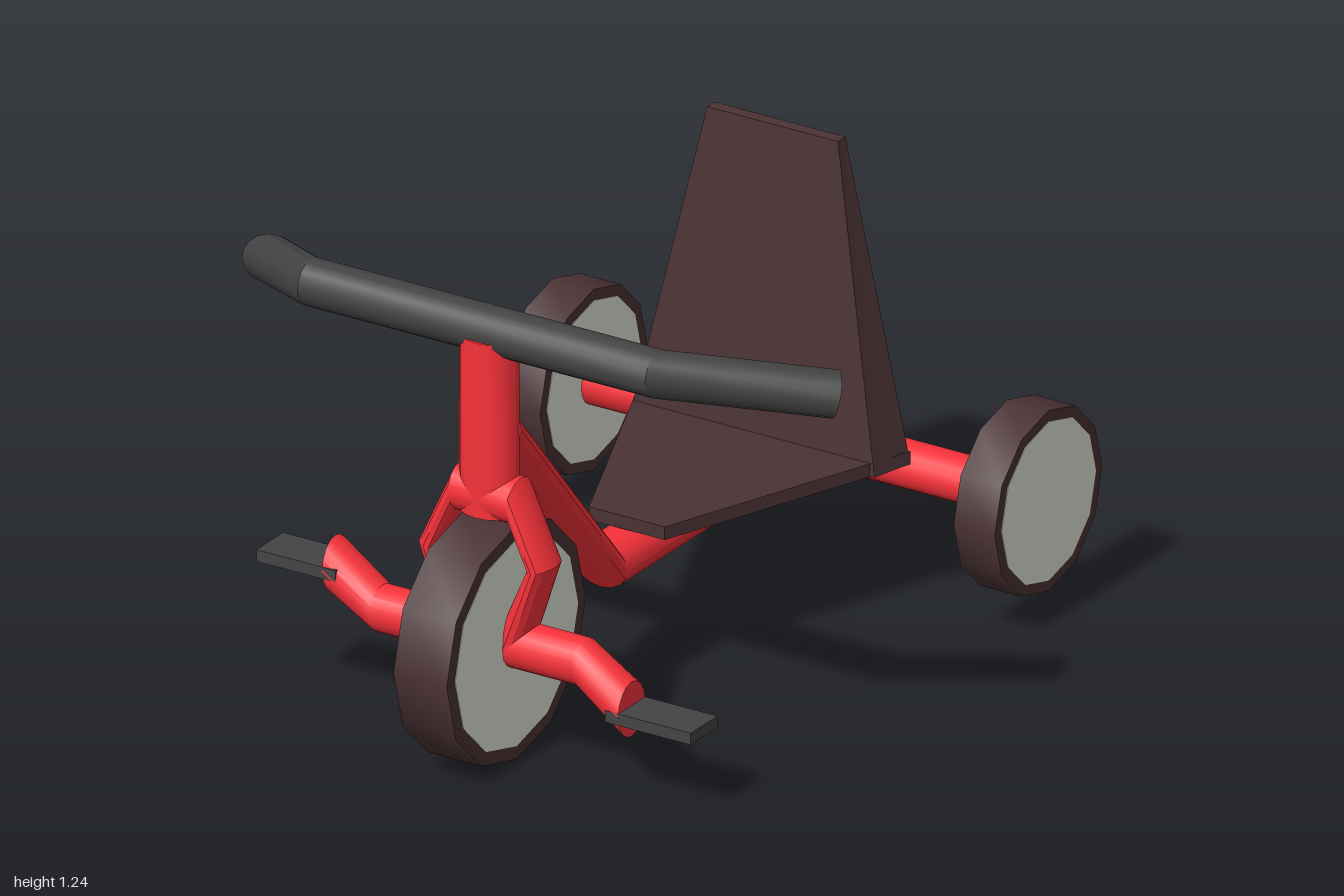
import * as THREE from 'three';
import { toCreasedNormals } from 'three/addons/utils/BufferGeometryUtils.js';

const paint = (color) => new THREE.MeshStandardMaterial({ color });
const red = paint(0xf8323a), black = paint(0x444444), brown = paint(0x4a3234), pale = paint(0xe0e6da);

// Closed solid through equal-sized rings of [x, y, z] points
function loft(rings) {
  const n = rings[0].length, last = (rings.length - 1) * n;
  const pos = rings.flat(), index = [];
  for (let r = 0; r < rings.length - 1; r++) {
    for (let i = 0; i < n; i++) {
      const a = r * n + i, b = r * n + (i + 1) % n;
      index.push(a, b, b + n, a, b + n, a + n);
    }
  }
  for (let i = 1; i < n - 1; i++) index.push(0, i + 1, i, last, last + i, last + i + 1);
  // Turn the faces outward when the rings run the other way
  let volume = 0;
  const v = pos.map((p) => new THREE.Vector3(...p));
  for (let i = 0; i < index.length; i += 3) {
    volume += v[index[i]].dot(v[index[i + 1]].clone().cross(v[index[i + 2]]));
  }
  if (volume < 0) index.reverse();
  const geo = new THREE.BufferGeometry();
  geo.setAttribute('position', new THREE.Float32BufferAttribute(pos.flat(), 3));
  geo.setIndex(index);
  return toCreasedNormals(geo, 0.48);
}

// Elliptical ring: centre plus two half-axis vectors
function ring(c, u, v, sides = 16) {
  return Array.from({ length: sides }, (_, i) => {
    const a = (i / sides) * Math.PI * 2;
    return c.map((k, j) => k + Math.cos(a) * u[j] + Math.sin(a) * v[j]);
  });
}

export function createModel() {
  const model = new THREE.Group();
  const add = (name, geo, mat, parent = model) => {
    const mesh = new THREE.Mesh(geo, mat);
    mesh.name = name;
    parent.add(mesh);
    return mesh;
  };
  const R = 0.0625, W = 0.08;
  const X = [W, 0, 0], Y = [0, R, 0], Z = [0, 0, R];

  // Twelve-sided wheels with pale flush discs
  const wheel = (name, x, y, z, radius, rim, width) => {
    const group = new THREE.Group();
    group.name = name;
    group.position.set(x, y, z);
    group.rotation.z = Math.PI / 2;
    add('tyre', toCreasedNormals(new THREE.CylinderGeometry(radius, radius, width, 12), 0.6), brown, group);
    add('wheelDisc', new THREE.CylinderGeometry(radius - rim, radius - rim, width + 0.003, 12), pale, group);
    model.add(group);
  };
  wheel('frontWheel', -0.004, 0.323, 0.68, 0.321, 0.037, 0.158);
  wheel('rearWheelLeft', 0.673, 0.325, -0.752, 0.248, 0.03, 0.122);
  wheel('rearWheelRight', -0.677, 0.325, -0.752, 0.248, 0.03, 0.122);

  // Rear axle, bent frame tube and steering column
  add('rearAxle', loft([-0.63, 0.63].map((x) => ring([x, 0.323, -0.755], Y, Z))), red);
  add('frameTube', loft([
    ring([-0.003, 0.323, -0.75], X, Y),
    ring([-0.003, 0.323, 0.168], X, Y),
    ring([-0.003, 0.9, 0.66], X, Y),
  ]), red);
  add('steeringColumn', loft([0.67, 1.15].map((y) => ring([-0.003, y, 0.683], X, Z))), red);

  // Fork: a crown with two bowed legs down to the hub
  const leg = (s) => [
    ring([s * 0.085, 0.717, 0.683], [s * 0.006, R, 0], Z),
    ring([s * 0.16, 0.555, 0.683], [s * 0.033, 0.005, 0], Z),
    ring([s * 0.075, 0.325, 0.683], [s * 0.035, -0.03, 0], Z),
  ];
  add('fork', loft([...leg(-1).reverse(), ...leg(1)]), red);

  // Cranks at opposite heights, each carrying a flat pedal
  const crank = (side, bendX, endX, endY, pedalX) => {
    add('crank' + side, loft([
      ring([0, 0.323, 0.683], Y, Z),
      ring([bendX, 0.323, 0.683], Y, Z),
      ring([endX, endY, 0.683], [0, 0.075, 0], Z),
    ]), red);
    const pedal = add('pedal' + side, new THREE.BoxGeometry(Math.abs(pedalX - endX) + 0.04, 0.032, 0.124), black);
    pedal.position.set((pedalX + endX - Math.sign(endX) * 0.04) / 2, endY - 0.006, 0.683);
  };
  crank('Left', 0.28, 0.42, 0.227, 0.635);
  crank('Right', -0.32, -0.46, 0.413, -0.655);

  // Swept-back handlebar
  add('handlebar', loft([
    ring([-0.832, 1.047, 0.403], [-0.018, 0.058, -0.015], [-0.058, 0, 0.043]),
    ring([-0.537, 1.162, 0.676], Y, Z),
    ring([0.495, 1.162, 0.676], Y, Z),
    ring([0.847, 1.09, 0.405], [0.01, 0.06, -0.008], [0.043, 0, 0.05]),
  ]), black);

  // Tapered seat and wedge-shaped backrest
  const slab = (y, corners) => corners.map(([x, z]) => [x, y, z]);
  const seat = [[-0.095, 0.08], [0.13, 0.08], [0.4, -0.635], [-0.4, -0.635]];
  add('seat', loft([slab(0.388, seat), slab(0.424, seat)]), brown);
  add('backrest', loft([
    slab(0.39, [[-0.355, -0.515], [0.37, -0.515], [0.4, -0.635], [-0.4, -0.635]]),
    slab(1.24, [[-0.182, -0.6], [0.207, -0.6], [0.207, -0.635], [-0.182, -0.635]]),
  ]), brown);

  return model;
}
